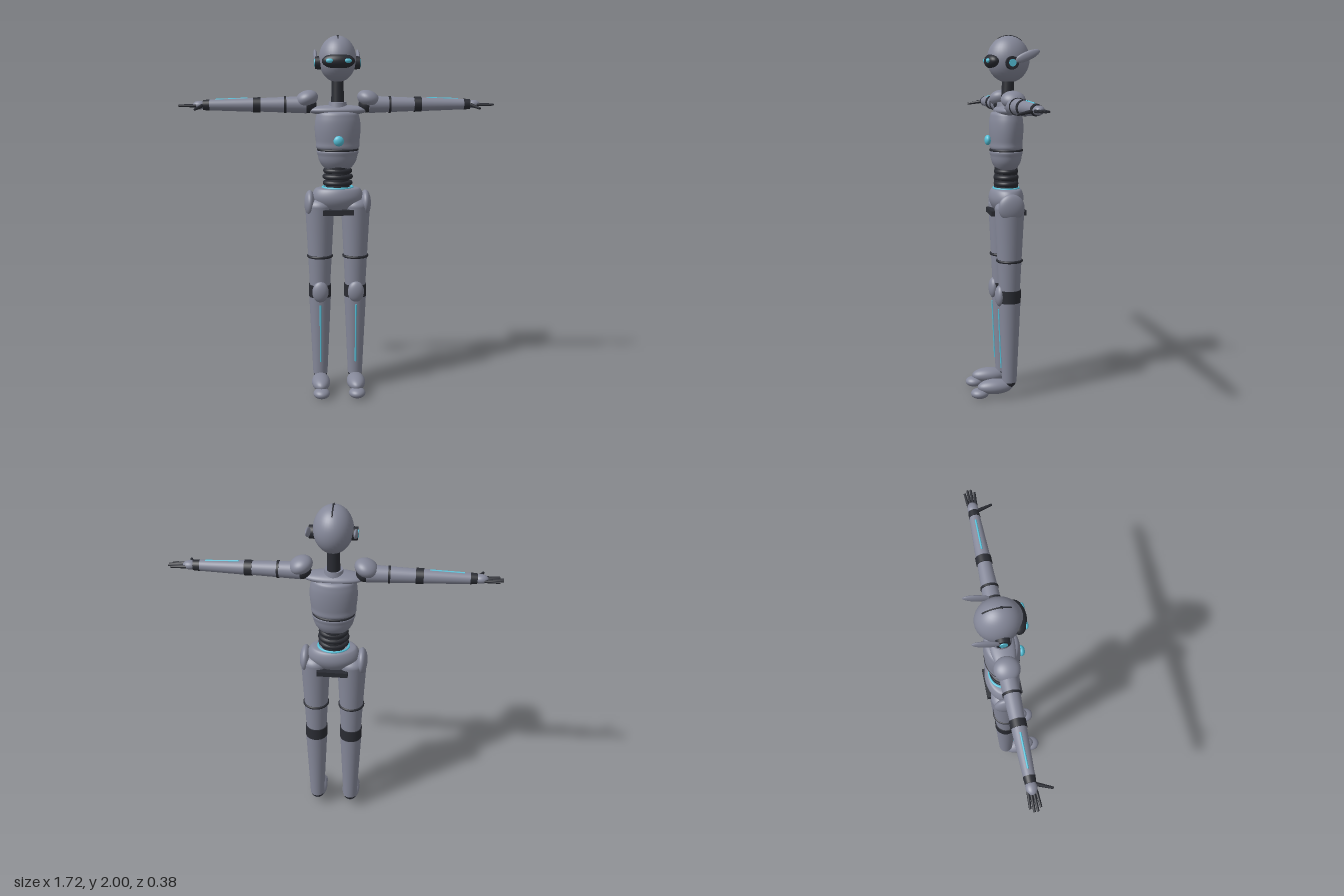
import * as THREE from 'three';

const material = (name, color) => {
  const m = new THREE.MeshStandardMaterial({ color });
  m.name = name;
  return m;
};

export function createModel() {
  const shell = material('grey shell', 0x858899);
  const dark = material('dark joint', 0x2a2c33);
  const glow = material('cyan light', 0x55c0d8);
  const root = new THREE.Group();
  root.name = 'robot';
  const Z = -0.028; // depth of the body axis

  const add = (name, geo, mat, x = 0, y = 0, z = 0, parent = root) => {
    const m = new THREE.Mesh(geo, mat);
    m.name = name;
    m.position.set(x, y, z);
    parent.add(m);
    return m;
  };
  const ball = (name, mat, p, r, parent = root) => {
    const m = add(name, new THREE.SphereGeometry(1, 36, 24), mat, ...p, parent);
    m.scale.set(...r);
    return m;
  };
  // Tapered limb between two points; r1 at a, r2 at b
  const limb = (name, mat, a, b, r1, r2, parent = root) => {
    const p = new THREE.Vector3(...a), q = new THREE.Vector3(...b);
    const d = q.clone().sub(p);
    const m = add(name, new THREE.CylinderGeometry(r2, r1, d.length(), 32), mat, 0, 0, 0, parent);
    m.position.copy(p).add(q).multiplyScalar(0.5);
    m.quaternion.setFromUnitVectors(new THREE.Vector3(0, 1, 0), d.normalize());
    return m;
  };
  // Horizontal ring, flattened in depth
  const ring = (name, mat, x, y, r, tube, depth = 1, parent = root) => {
    const geo = new THREE.TorusGeometry(r, tube, 12, 48).rotateX(Math.PI / 2);
    const m = add(name, geo, mat, x, y, Z, parent);
    m.scale.z = depth;
    return m;
  };
  // Smooth turned body through [radius, height] points
  const turned = (name, mat, pts, depth) => {
    const curve = new THREE.SplineCurve(pts.map(p => new THREE.Vector2(...p)));
    const prof = curve.getPoints(32).map(p => new THREE.Vector2(Math.max(p.x, 0), p.y));
    const m = add(name, new THREE.LatheGeometry(prof, 48), mat, 0, 0, Z);
    m.scale.z = depth;
    return m;
  };

  // Head
  ball('head', shell, [0, 1.875, -0.04], [0.102, 0.125, 0.116]);
  ball('visor', dark, [0, 1.865, 0.045], [0.089, 0.042, 0.047]);
  const seam = add('crownSeam', new THREE.TorusGeometry(1, 0.03, 8, 32, 1.25), dark, 0, 1.875, -0.04);
  seam.geometry.rotateZ(Math.PI / 2 - 0.7).rotateY(Math.PI / 2);
  seam.scale.set(0.12, 0.125, 0.116);
  ball('crownStud', dark, [0, 1.998, -0.025], [0.008, 0.003, 0.008]);

  // Neck and chest
  limb('neck', dark, [0, 1.63, -0.034], [0, 1.78, -0.04], 0.035, 0.033);
  limb('neckCollar', shell, [0, 1.6, Z], [0, 1.645, Z], 0.055, 0.048);
  ball('collarbone', shell, [0, 1.6, Z], [0.165, 0.03, 0.065]);
  turned('chest', shell, [[0, 1.385], [0.108, 1.388], [0.12, 1.43], [0.126, 1.5],
    [0.12, 1.56], [0.098, 1.593], [0, 1.6]], 0.74);
  ring('chestRing', dark, 0, 1.385, 0.108, 0.007, 0.8);
  turned('lowerRibs', shell, [[0, 1.272], [0.06, 1.275], [0.095, 1.31], [0.109, 1.35], [0.107, 1.385], [0, 1.388]], 0.78);
  ball('chestLight', glow, [0, 1.44, 0.074], [0.028, 0.028, 0.018]);

  // Waist
  limb('waistCore', dark, [0, 1.16, Z], [0, 1.3, Z], 0.066, 0.064);
  [[1.2, 0.069], [1.235, 0.071], [1.268, 0.067]].forEach(([y, r]) =>
    ring('waistRib', dark, 0, y, r, 0.014, 0.82));
  ring('waistLight', glow, 0, 1.174, 0.083, 0.007, 0.84);

  // Pelvis
  turned('pelvis', shell, [[0, 1.035], [0.075, 1.04], [0.125, 1.08], [0.143, 1.12],
    [0.13, 1.16], [0.1, 1.174], [0, 1.174]], 0.66);
  add('pelvisBand', new THREE.BoxGeometry(0.17, 0.028, 0.195), dark, 0, 1.044, Z);

  for (const s of [-1, 1]) {
    const side = s > 0 ? 'left' : 'right';
    const g = (part) => {
      const h = new THREE.Group();
      h.name = side + part;
      root.add(h);
      return h;
    };

    // Eye and ear
    const face = g('HeadDetails');
    ball('eye', glow, [s * 0.046, 1.867, 0.079], [0.023, 0.013, 0.012], face);
    limb('earDisc', dark, [s * 0.09, 1.855, -0.04], [s * 0.122, 1.855, -0.04], 0.036, 0.034, face);
    limb('earLight', glow, [s * 0.12, 1.855, -0.04], [s * 0.127, 1.855, -0.04], 0.02, 0.019, face);
    ball('earFin', shell, [s * 0.118, 1.89, -0.118], [0.011, 0.024, 0.075], face).rotation.x = 0.4;

    // Arm
    const arm = g('Arm'), Y = 1.63, A = -0.033;
    ball('shoulderJoint', dark, [s * 0.16, 1.63, A], [0.045, 0.045, 0.045], arm);
    ball('shoulderPad', shell, [s * 0.168, 1.662, A], [0.063, 0.045, 0.066], arm).rotation.z = -s * 0.35;
    limb('upperArm', shell, [s * 0.17, Y, A], [s * 0.44, Y, A], 0.047, 0.036, arm);
    limb('upperArmRing', dark, [s * 0.28, Y, A], [s * 0.292, Y, A], 0.046, 0.046, arm);
    limb('elbow', dark, [s * 0.42, Y, A], [s * 0.46, Y, A], 0.041, 0.041, arm);
    limb('forearm', shell, [s * 0.45, Y, A], [s * 0.71, Y, A], 0.038, 0.028, arm);
    limb('forearmLight', glow, [s * 0.49, Y + 0.035, A], [s * 0.665, Y + 0.0285, A], 0.005, 0.005, arm);
    limb('wrist', dark, [s * 0.695, Y, A], [s * 0.73, Y, A], 0.03, 0.027, arm);
    ball('palm', shell, [s * 0.748, Y, A], [0.038, 0.023, 0.028], arm);
    for (let i = 0; i < 4; i++) {
      const z = A + (i - 1.5) * 0.017;
      const tip = i === 0 || i === 3 ? 0.845 : 0.862;
      limb('finger', dark, [s * 0.765, Y - 0.003, A + (i - 1.5) * 0.013],
        [s * tip, Y - 0.003, z], 0.008, 0.006, arm);
    }
    limb('thumb', dark, [s * 0.735, 1.627, -0.012], [s * 0.766, 1.612, 0.068], 0.01, 0.006, arm);

    // Leg
    const leg = g('Leg'), x = s * 0.1;
    ball('hipPad', shell, [s * 0.155, 1.085, Z], [0.031, 0.073, 0.072], leg);
    ball('hipCap', shell, [x, 1.07, Z], [0.081, 0.05, 0.081], leg);
    limb('thigh', shell, [x, 0.58, Z], [x, 1.07, Z], 0.056, 0.081, leg);
    ring('thighRing', dark, x, 0.785, 0.066, 0.008, 1, leg);
    limb('knee', dark, [x, 0.55, Z], [x, 0.62, Z], 0.063, 0.063, leg);
    ball('kneecap', shell, [x, 0.586, 0.026], [0.046, 0.06, 0.027], leg);
    limb('shin', shell, [x, 0.09, Z], [x, 0.56, Z], 0.041, 0.062, leg);
    limb('shinLight', glow, [x, 0.17, 0.0175], [x, 0.51, 0.0325], 0.005, 0.005, leg);
    ball('ankle', dark, [x, 0.088, Z], [0.039, 0.033, 0.036], leg);
    ball('foot', shell, [x, 0.064, 0.052], [0.052, 0.042, 0.1], leg);
    ball('toe', shell, [x, 0.029, 0.14], [0.046, 0.029, 0.05], leg);
  }
  return root;
}
